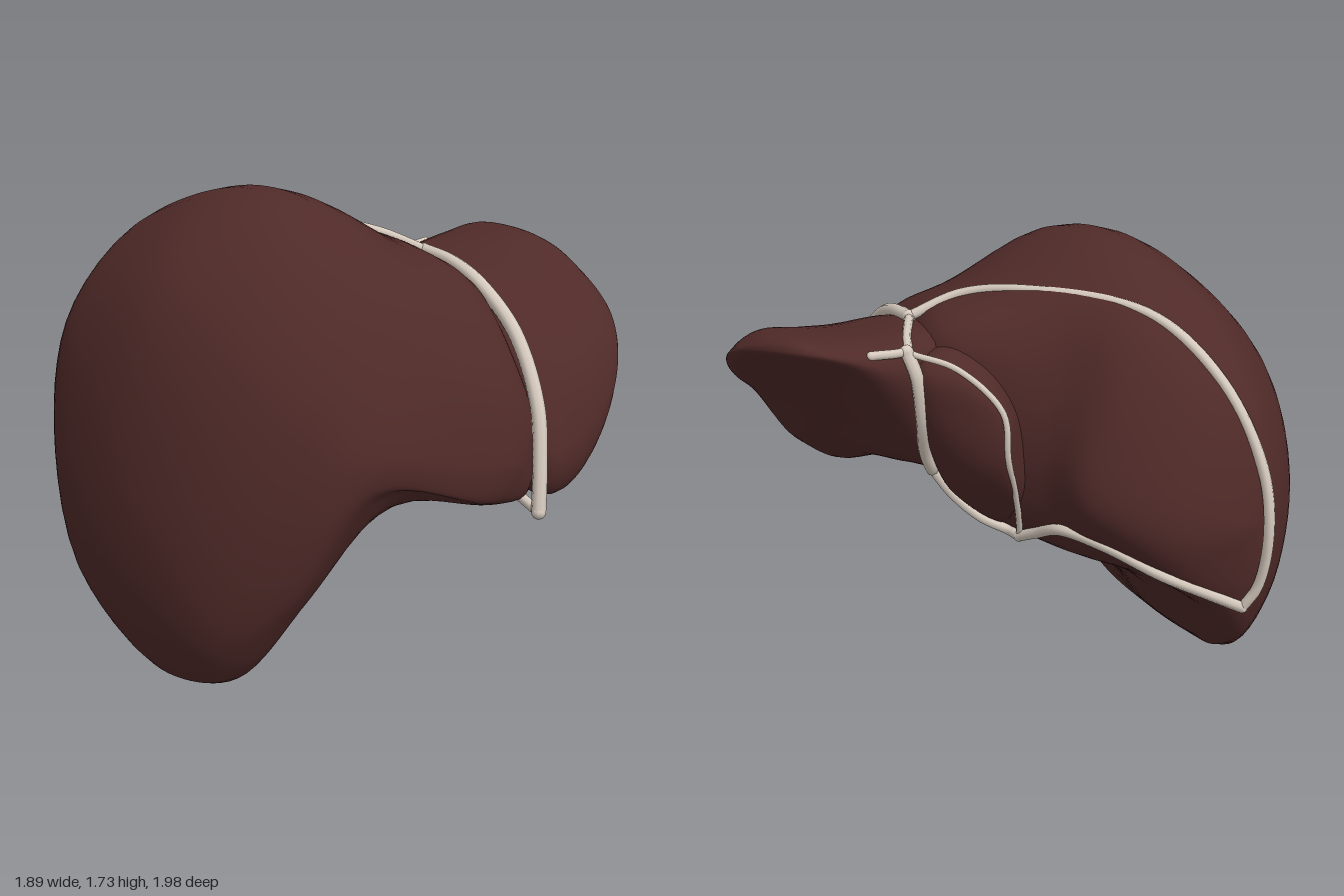
import * as THREE from 'three';
import { mergeVertices } from 'three/addons/utils/BufferGeometryUtils.js';

const V = (x, y, z) => new THREE.Vector3(x, y, z);
const tissue = new THREE.MeshStandardMaterial({ color: 0x4f2a28 });
const ligament = new THREE.MeshStandardMaterial({ color: 0xd6cabe });

// Smooth closed skin over cross-sections, rounded off at a pole on each end.
// Each section is [position along the axis, u0, v0, u1, v1, ...].
function loft(startPole, sections, endPole, place) {
  const around = 56, perSpan = 8;
  const rings = sections.map(([axis, ...uv]) => {
    const pts = [];
    for (let i = 0; i < uv.length; i += 2) pts.push(place(axis, uv[i], uv[i + 1]));
    const loop = new THREE.CatmullRomCurve3(pts, true);
    return Array.from({ length: around }, (_, j) => loop.getPoint(j / around));
  });
  const first = rings[0], last = rings[rings.length - 1];
  const spans = rings.length + 1, steps = spans * perSpan;
  const positions = [], index = [];
  for (let j = 0; j < around; j++) {
    // Each rail runs on through the pole to the far side, so the ends are round
    const far = (j + around / 2) % around;
    const rail = new THREE.CatmullRomCurve3(
      [first[far], startPole, ...rings.map(r => r[j]), endPole, last[far]]);
    for (let i = 0; i <= steps; i++) {
      positions.push(...rail.getPoint((1 + i / perSpan) / (spans + 2)).toArray());
      if (i === steps) continue;
      const a = j * (steps + 1) + i, b = ((j + 1) % around) * (steps + 1) + i;
      if (i > 0) index.push(a, a + 1, b);
      if (i < steps - 1) index.push(b, a + 1, b + 1);
    }
  }
  let geo = new THREE.BufferGeometry();
  geo.setAttribute('position', new THREE.Float32BufferAttribute(positions, 3));
  geo.setIndex(index);
  geo = mergeVertices(geo, 1e-5);
  geo.computeVertexNormals();
  return geo;
}

// Right lobe: x, y outlines, from the back towards the front.
// Each runs from the outer side over the dome, down the inner side and back under.
const rightBack = [
  [-0.85, -0.61, 0.85, -0.55, 1.09, -0.4, 1.25, -0.26, 1.19, -0.12, 1.02,
    -0.07, 0.85, -0.16, 0.67, -0.3, 0.52, -0.43, 0.4, -0.56, 0.56],
  [-0.6, -0.82, 0.8, -0.71, 1.27, -0.4, 1.52, -0.15, 1.43, 0.04, 1.15,
    0.11, 0.92, 0.02, 0.74, -0.28, 0.51, -0.57, 0.16, -0.75, 0.3],
  [-0.35, -0.91, 0.75, -0.77, 1.37, -0.4, 1.65, -0.1, 1.56, 0.06, 1.3,
    0.12, 0.95, 0.05, 0.68, -0.3, 0.46, -0.69, 0.05, -0.85, 0.23],
  [0, -0.945, 0.75, -0.79, 1.44, -0.38, 1.73, 0.05, 1.57, 0.33, 1.42,
    0.28, 1.05, 0.12, 0.68, -0.3, 0.54, -0.76, 0, -0.88, 0.2],
];
const rightFront = [
  [0.3, -0.89, 0.75, -0.74, 1.37, -0.36, 1.67, 0.05, 1.53, 0.28, 1.42,
    0.3, 1, 0.1, 0.74, -0.4, 0.71, -0.72, 0.08, -0.84, 0.22],
  [0.55, -0.75, 0.8, -0.64, 1.21, -0.33, 1.46, 0, 1.43, 0.23, 1.36,
    0.26, 1, 0.1, 0.72, -0.36, 0.78, -0.61, 0.43, -0.71, 0.43],
  [0.75, -0.54, 0.92, -0.44, 1.07, -0.22, 1.2, 0.02, 1.22, 0.17, 1.18,
    0.2, 0.95, 0.1, 0.71, -0.2, 0.72, -0.43, 0.8, -0.53, 0.83],
  [0.88, -0.15, 0.83, -0.1, 0.9, 0, 0.97, 0.08, 0.99, 0.14, 0.95,
    0.17, 0.83, 0.11, 0.69, 0, 0.7, -0.08, 0.72, -0.13, 0.76],
];

// Left lobe: z, y outlines, from its outer end inwards.
// Each runs over the top from back to front, then back along the underside.
const leftSections = [
  [0.85, 0.06, 1.48, 0.28, 1.475, 0.45, 1.42, 0.6, 1.32, 0.68, 1.24,
    0.6, 1.22, 0.45, 1.28, 0.28, 1.35, 0.1, 1.41, 0.03, 1.45],
  [0.7, 0, 1.45, 0.3, 1.455, 0.56, 1.36, 0.77, 1.22, 0.85, 1.1,
    0.77, 1.07, 0.5, 1.16, 0.25, 1.26, 0.05, 1.34, -0.04, 1.41],
  [0.5, 0, 1.42, 0.35, 1.42, 0.66, 1.31, 0.87, 1.12, 0.945, 0.91,
    0.88, 0.8, 0.56, 0.96, 0.3, 1.05, 0.06, 1.12, -0.05, 1.31],
  [0.3, 0.02, 1.4, 0.3, 1.43, 0.61, 1.32, 0.87, 1.07, 0.96, 0.8,
    0.9, 0.67, 0.6, 0.77, 0.3, 0.84, 0.07, 0.92, -0.01, 1.2],
  [0.18, 0.06, 1.35, 0.3, 1.39, 0.6, 1.28, 0.84, 1, 0.93, 0.8,
    0.88, 0.69, 0.6, 0.77, 0.3, 0.84, 0.08, 0.92, 0.02, 1.2],
];

// Caudate lobe: x, z outlines, from its lower end upwards.
const caudateSections = [
  [0.8, 0.14, -0.22, 0.22, -0.15, 0.27, 0, 0.22, 0.1, 0.1, 0.12, -0.05, 0, 0, -0.15, 0.06, -0.2],
  [1, 0.23, -0.3, 0.32, -0.22, 0.38, -0.05, 0.32, 0.1, 0.15, 0.15, 0, 0, 0.04, -0.17, 0.13, -0.26],
  [1.2, 0.25, -0.3, 0.37, -0.2, 0.44, -0.06, 0.4, 0.1, 0.2, 0.15, 0.05, 0, 0.1, -0.17, 0.17, -0.24],
  [1.34, 0.33, -0.18, 0.4, -0.13, 0.44, -0.05, 0.38, 0.08, 0.22, 0.1, 0.12, 0, 0.18, -0.1, 0.25, -0.16],
];

// Ligament paths as x, y, z points, with a cord radius
const cords = {
  falciformLigament: [0.026, [[0.32, 1.45, 0.22], [0.29, 1.43, 0.38], [0.25, 1.37, 0.55],
    [0.21, 1.23, 0.74], [0.15, 1.01, 0.89], [0.11, 0.82, 0.94], [0.08, 0.66, 0.965]]],
  upperCoronaryLigament: [0.02, [[0.32, 1.45, 0.22], [0.15, 1.53, 0.13], [0, 1.57, -0.1],
    [-0.22, 1.54, -0.5], [-0.32, 1.36, -0.76], [-0.38, 1.08, -0.93], [-0.39, 0.85, -0.975],
    [-0.39, 0.62, -0.94], [-0.36, 0.53, -0.9]]],
  lowerCoronaryLigament: [0.022, [[-0.36, 0.53, -0.9], [-0.24, 0.6, -0.865], [-0.08, 0.69, -0.78],
    [0.03, 0.76, -0.6], [0.09, 0.77, -0.42], [0.09, 0.7, -0.27], [0.1, 0.65, -0.17]]],
  leftTriangularLigament: [0.017, [[0.32, 1.45, 0.22], [0.42, 1.43, 0.07], [0.48, 1.41, -0.02],
    [0.62, 1.42, -0.03]]],
  venousLigament: [0.025, [[0.48, 1.41, -0.03], [0.46, 1.32, -0.06], [0.43, 1.15, -0.04],
    [0.38, 0.99, 0.03], [0.32, 0.89, 0.08], [0.25, 0.85, 0.2]]],
  caudateEdge: [0.012, [[0.46, 1.4, -0.05], [0.36, 1.36, -0.17], [0.26, 1.22, -0.3],
    [0.24, 1.04, -0.305], [0.17, 0.86, -0.25], [0.12, 0.72, -0.2], [0.1, 0.65, -0.17]]],
  roundLigament: [0.018, [[0.25, 0.85, 0.2], [0.21, 0.81, 0.4], [0.15, 0.75, 0.65],
    [0.11, 0.69, 0.85], [0.08, 0.66, 0.965]]],
  portalEdgeFront: [0.016, [[0.25, 0.85, 0.2], [0.21, 0.77, 0.15], [0.1, 0.69, 0.13],
    [-0.05, 0.66, 0.15], [-0.2, 0.7, 0.25]]],
  portalEdgeBack: [0.02, [[0.32, 0.89, 0.08], [0.25, 0.78, 0.05], [0.17, 0.69, -0.02],
    [0.1, 0.65, -0.1], [0.1, 0.65, -0.17]]],
};

export function createModel() {
  const model = new THREE.Group();
  const add = (name, geo, material) => {
    const mesh = new THREE.Mesh(geo, material);
    mesh.name = name;
    model.add(mesh);
    return mesh;
  };

  // Lobes
  add('rightLobe', loft(V(-0.38, 0.87, -0.95), [...rightBack, ...rightFront], V(0.06, 0.82, 0.91),
    (z, x, y) => V(x, y, z)), tissue);
  add('leftLobe', loft(V(0.94, 1.4, 0.35), leftSections, V(0.1, 1.05, 0.5),
    (x, z, y) => V(x, y, z)), tissue);
  add('caudateLobe', loft(V(0.09, 0.67, -0.07), caudateSections, V(0.31, 1.4, -0.03),
    (y, x, z) => V(x, y, z)), tissue);

  // Ligament cords, with round ends
  for (const [name, [radius, points]] of Object.entries(cords)) {
    const path = new THREE.CatmullRomCurve3(points.map(p => V(...p)));
    const cord = add(name, new THREE.TubeGeometry(path, points.length * 6, radius, 8), ligament);
    for (const end of [0, 1]) {
      const tip = new THREE.Mesh(new THREE.SphereGeometry(radius, 10, 8), ligament);
      tip.name = name + 'End';
      tip.position.copy(path.getPoint(end));
      cord.add(tip);
    }
  }
  return model;
}
